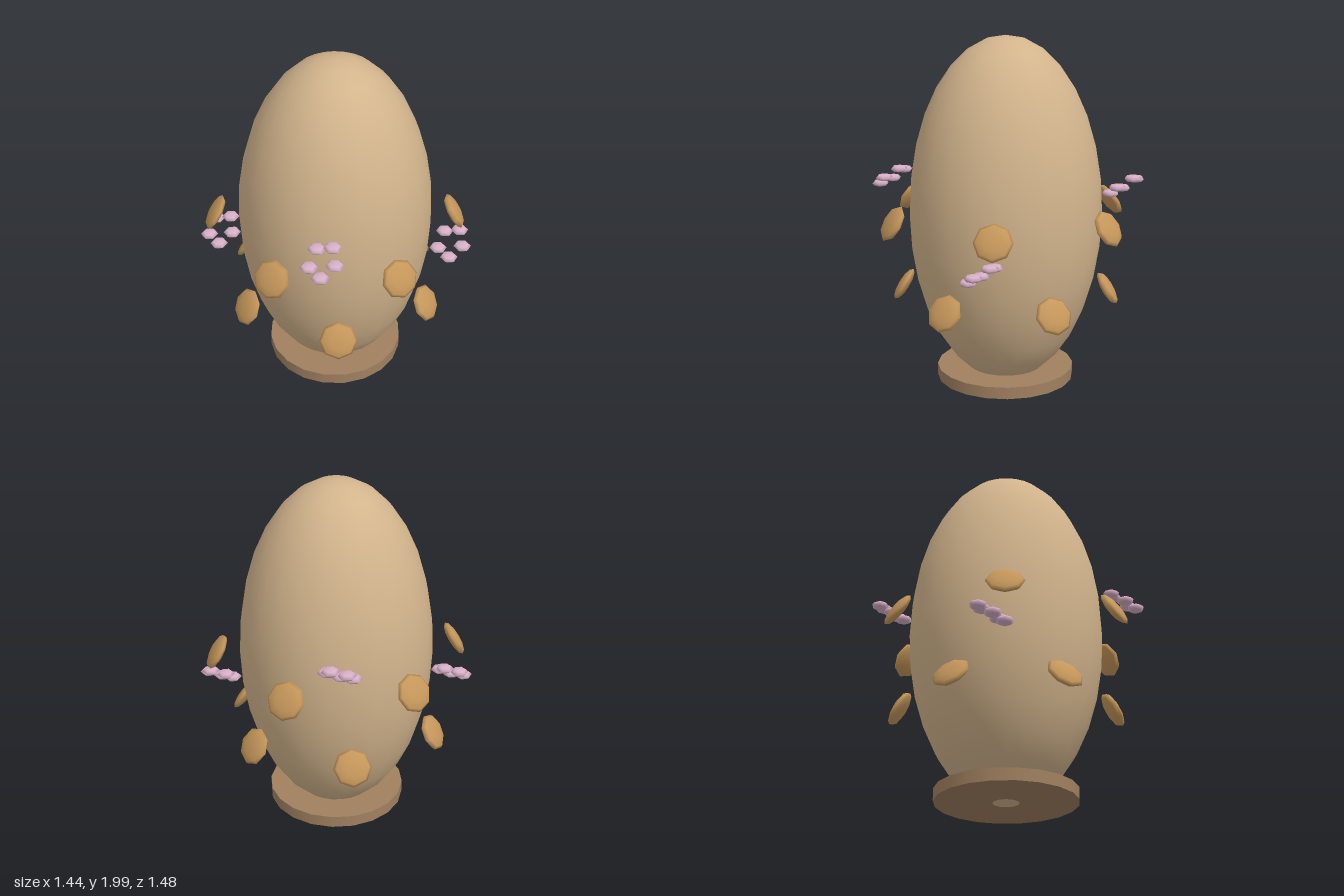
import * as THREE from 'three';

const mat = (name, color) => {
  const m = new THREE.MeshStandardMaterial({ color });
  m.name = name;
  return m;
};

export function createModel() {
  const tan = mat('tan shell', 0xd2b48c);
  const ochre = mat('ochre spot', 0xc4965a);
  const pink = mat('pink petal', 0xd8b0c8);
  const brown = mat('brown base', 0xa08060);

  const model = new THREE.Group();
  model.name = 'decoratedEgg';
  const add = (parent, name, geometry, material) => {
    const mesh = new THREE.Mesh(geometry, material);
    mesh.name = name;
    parent.add(mesh);
    return mesh;
  };

  // Egg shell
  const egg = add(model, 'eggShell', new THREE.SphereGeometry(1, 24, 16), tan);
  egg.scale.set(0.546, 0.995, 0.546);
  egg.position.set(-0.005, 1.005, -0.003);

  // Disc stand, with the tip of the egg just poking through
  const base = add(model, 'base', new THREE.CylinderGeometry(0.393, 0.393, 0.068, 20), brown);
  base.position.set(-0.005, 0.057, 0);

  // Two staggered rings of six lens-shaped spots, tilted upwards
  const spotGeometry = new THREE.SphereGeometry(0.106, 8, 6).scale(1, 0.29, 1);
  const rings = [
    { name: 'upperSpot', y: 1.005, radius: 0.677, start: -0.025 },
    { name: 'lowerSpot', y: 0.558, radius: 0.587, start: Math.PI / 6 },
  ];
  for (const { name, y, radius, start } of rings) {
    for (let i = 0; i < 6; i++) {
      const arm = new THREE.Group();
      arm.name = name + 'Arm';
      arm.position.set(-0.006, y, 0);
      arm.rotation.y = start + (i * Math.PI) / 3;
      const spot = add(arm, name, spotGeometry, ochre);
      spot.position.z = radius;
      spot.rotation.x = Math.PI / 2 - 0.55;
      model.add(arm);
    }
  }

  // Four flowers: five flat petals on a sloping ring, all sloping the same way
  const petalGeometry = new THREE.SphereGeometry(0.05, 6, 4).rotateY(Math.PI / 6).scale(1, 0.42, 1);
  const flowers = [
    [0.25, 1.185, 0.61],
    [-0.265, 1.185, -0.615],
    [-0.617, 0.828, 0.25],
    [0.607, 0.828, -0.26],
  ];
  for (const centre of flowers) {
    const flower = new THREE.Group();
    flower.name = 'flower';
    flower.position.set(...centre);
    for (let i = 0; i < 5; i++) {
      const a = (i * Math.PI * 2) / 5;
      const petal = add(flower, 'petal', petalGeometry, pink);
      petal.position.set(0.072 * Math.cos(a), 0.053 * Math.sin(a), -0.073 * Math.sin(a));
    }
    model.add(flower);
  }

  return model;
}
